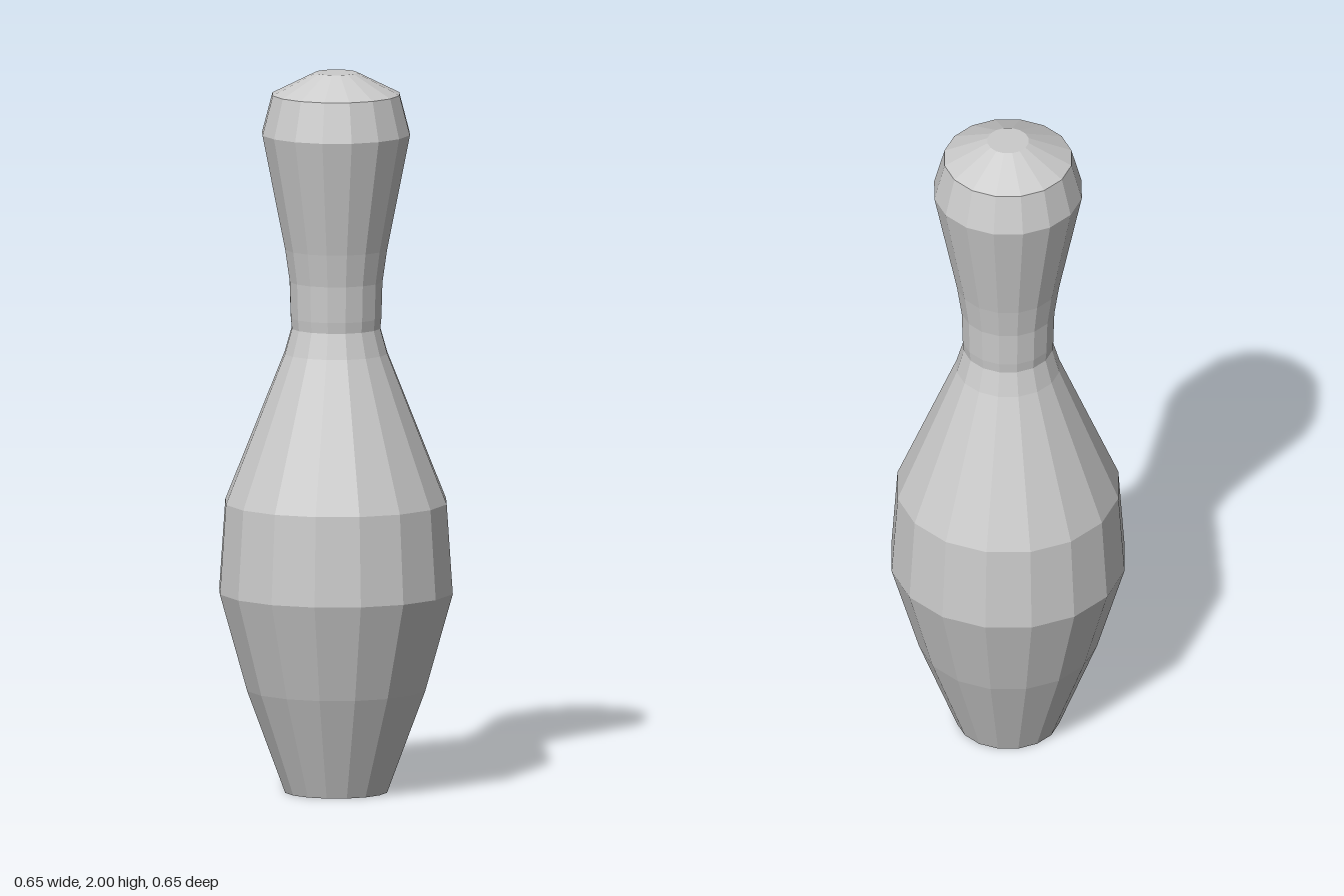
import * as THREE from 'three';

export function createModel() {
  const group = new THREE.Group();
  group.name = 'bowlingPin';
  const material = new THREE.MeshStandardMaterial({ color: 0xcccccc, flatShading: true });

  // Profile as [radius, height], from the centre of the base to the centre of the crown
  const profile = [
    [0, 0], [0.143, 0],                                        // flat base
    [0.25, 0.286], [0.327, 0.557], [0.31, 0.806],              // belly
    [0.144, 1.22], [0.124, 1.29], [0.127, 1.32],               // shoulder
    [0.13, 1.42], [0.143, 1.51],                               // neck
    [0.207, 1.83], [0.178, 1.94], [0.058, 2], [0, 2],          // head
  ].map(([r, y]) => new THREE.Vector2(r, y));

  // Sixteen-sided turned body
  const body = new THREE.Mesh(new THREE.LatheGeometry(profile, 16), material);
  body.name = 'pinBody';
  group.add(body);
  return group;
}
